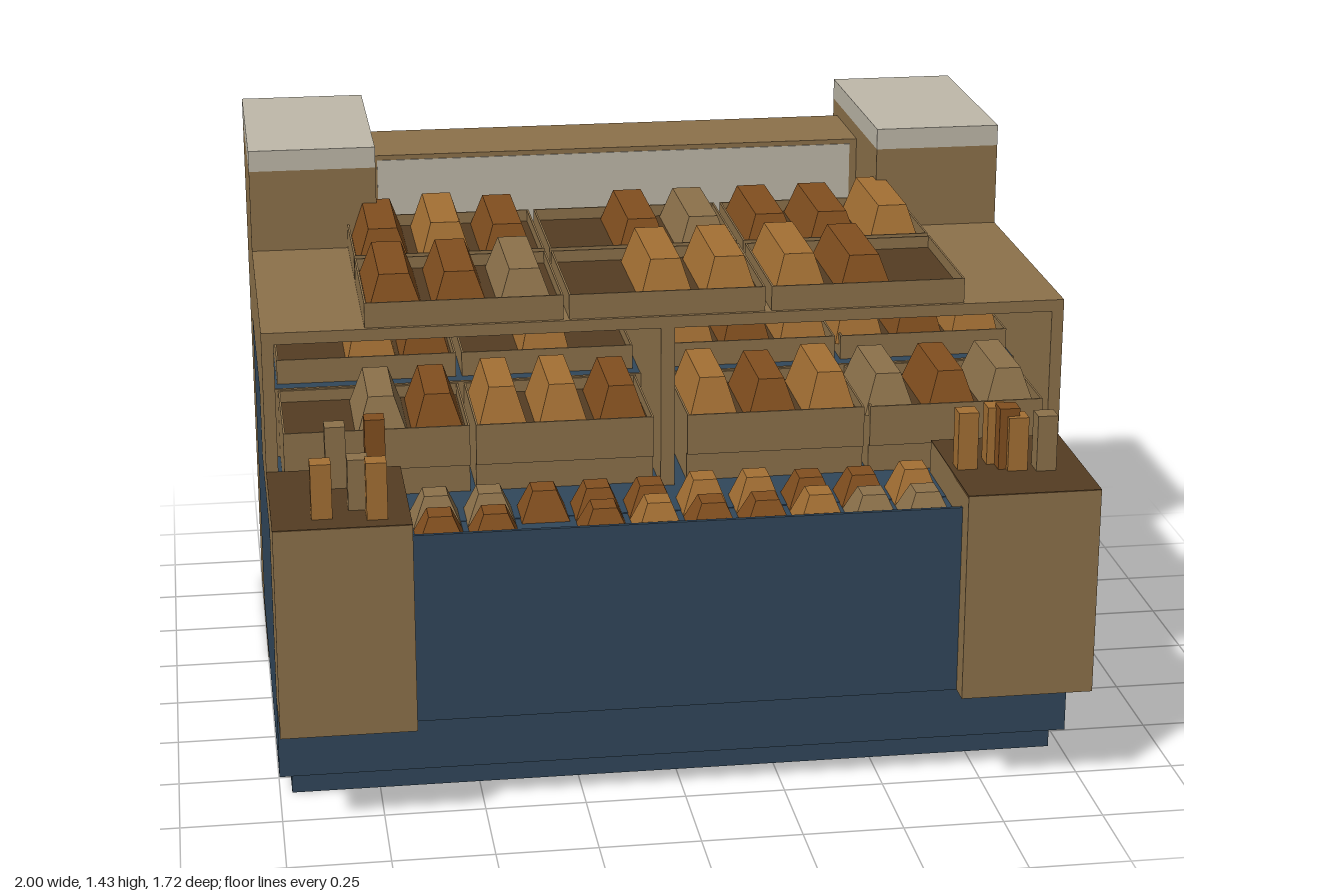
import * as THREE from 'three';

export function createModel() {
  const model = new THREE.Group();
  model.name = 'breadStall';

  const material = (name, color) => {
    const m = new THREE.MeshStandardMaterial({ color });
    m.name = name;
    return m;
  };
  const wood = material('wood', 0x8d724b);
  const darkWood = material('darkWood', 0x543d22);
  const blue = material('bluePaint', 0x31475b);
  const stone = material('paleStone', 0xbfb9aa);
  const brownCrust = material('brownCrust', 0x824f1f);
  const goldCrust = material('goldenCrust', 0xa47034);
  const crust = { d: brownCrust, g: goldCrust, t: wood };

  // box given by its lower and upper limits
  function box(name, mat, x0, x1, y0, y1, z0, z1, parent = model) {
    const mesh = new THREE.Mesh(new THREE.BoxGeometry(x1 - x0, y1 - y0, z1 - z0), mat);
    mesh.position.set((x0 + x1) / 2, (y0 + y1) / 2, (z0 + z1) / 2);
    mesh.name = name;
    parent.add(mesh);
  }

  // four thin walls, open above and below
  function walls(name, x0, x1, y0, y1, z0, z1) {
    const g = new THREE.Group();
    g.name = name;
    const t = 0.005;
    box(name + 'Side', wood, x0, x0 + t, y0, y1, z0, z1, g);
    box(name + 'Side', wood, x1 - t, x1, y0, y1, z0, z1, g);
    box(name + 'Back', wood, x0 + t, x1 - t, y0, y1, z0, z0 + t, g);
    box(name + 'Front', wood, x0 + t, x1 - t, y0, y1, z1 - t, z1, g);
    model.add(g);
  }

  // tray with thin rims and a dark floor
  function tray(name, x0, x1, y0, y1, z0, z1) {
    walls(name, x0, x1, y0, y1, z0, z1);
    box(name + 'Floor', darkWood, x0 + 0.005, x1 - 0.005, y0 + 0.001, y1 - 0.03, z0 + 0.005, z1 - 0.005);
  }

  // loaf: a box whose upper face is drawn in by a fixed inset
  function loaf(name, mat, x, y, z, w, h, d, inset) {
    const geo = new THREE.BoxGeometry(w, h, d);
    const p = geo.attributes.position;
    for (let i = 0; i < p.count; i++) {
      if (p.getY(i) > 0) {
        p.setX(i, p.getX(i) - Math.sign(p.getX(i)) * inset);
        p.setZ(i, p.getZ(i) - Math.sign(p.getZ(i)) * inset);
      }
    }
    geo.computeVertexNormals();
    const mesh = new THREE.Mesh(geo, mat);
    mesh.position.set(x, y + h / 2, z);
    mesh.name = name;
    model.add(mesh);
  }

  // a row of loaves; a dot leaves a place empty, golden ones rise higher
  function loafRow(name, xs, kinds, y, z, w, h, d, inset) {
    xs.forEach((x, i) => {
      const k = kinds[i];
      if (k !== '.') loaf(name, crust[k], x, y, z, w, k === 'g' ? h : h * 0.9, d, inset);
    });
  }

  // stepped base and plinth
  box('plinth', blue, -0.97, 0.97, 0, 0.062, -0.27, 0.59);
  box('baseFront', blue, -1.001, 1.001, 0.062, 0.717, 0.09, 0.627);
  box('baseRear', blue, -1.001, 1.001, 0.062, 0.895, -0.535, 0.09);

  // front bin between the corner boxes
  box('frontBin', blue, -0.67, 0.67, 0.27, 0.715, 0.6, 0.79);
  box('frontBinPanel', blue, -0.67, 0.67, 0.27, 0.752, 0.79, 0.8);

  // hollow rear wall with pale panels on both sides
  box('rearWall', wood, -0.67, 0.67, 0, 1.338, -0.806, -0.798);
  box('rearWallTop', wood, -0.67, 0.67, 1.325, 1.338, -0.798, -0.535);
  box('rearWallFront', wood, -0.67, 0.67, 0.895, 1.325, -0.545, -0.535);
  box('rearWallPanelBack', stone, -0.67, 0.67, 1.16, 1.325, -0.809, -0.805);
  box('rearWallPanelFront', stone, -0.65, 0.65, 1.14, 1.325, -0.537, -0.532);

  // mirrored posts, shelf sides and corner boxes
  for (const s of [-1, 1]) {
    const [x0, x1] = s < 0 ? [-1, -0.67] : [0.67, 1];
    walls('rearPost', x0, x1, 0, 1.375, -0.86, -0.27);
    box('postCap', stone, x0, x1, 1.375, 1.43, -0.86, -0.27);
    walls('cornerBox', x0, x1, 0.27, 0.8, 0.45, 0.857);
    box('cornerBoxTop', darkWood, x0, x1, 0.795, 0.803, 0.45, 0.857);
    box('shelfSide', wood, s < 0 ? -1 : 0.97, s < 0 ? -0.97 : 1, 0.717, 1.13, -0.27, 0.45);
  }

  // shelf top, divider and the riser behind the lower trays
  box('shelfTop', wood, -1, 1, 1.13, 1.16, -0.36, 0.45);
  box('shelfDivider', wood, -0.02, 0.015, 0.717, 1.13, -0.36, 0.45);
  box('shelfRiser', wood, -0.97, 0.97, 0.717, 0.898, 0.09, 0.099);

  // trays and long loaves on the shelf top
  const topX = [-0.67, -0.51, -0.35, 0, 0.16, 0.335, 0.5, 0.66];
  for (const [z0, z1, kinds] of [[-0.352, 0.025, 'dgddtddg'], [0.05, 0.44, 'ddtgggd.']]) {
    for (const x of [-0.504, -0.002, 0.502]) tray('topTray', x - 0.244, x + 0.244, 1.16, 1.223, z0, z1);
    loafRow('topLoaf', topX, kinds, 1.185, (z0 + z1) / 2, 0.14, 0.105, 0.355, 0.033);
  }

  // trays and loaves inside the shelf, rear row higher
  for (const [x0, x1] of [[-0.955, -0.495], [-0.48, -0.035], [0.05, 0.5], [0.515, 0.96]]) {
    tray('lowerTray', x0, x1, 0.79, 0.895, 0.1, 0.435);
    box('lowerTrayStand', wood, x0, x1, 0.717, 0.79, 0.1, 0.42);
    tray('rearTray', x0, x1, 0.896, 0.96, -0.34, 0.05);
  }
  const shelfX = [-0.86, -0.71, -0.57, -0.41, -0.26, -0.11, 0.12, 0.27, 0.42, 0.57, 0.73, 0.88];
  loafRow('lowerLoaf', shelfX, '.tdggdgdgtdt', 0.866, 0.27, 0.13, 0.11, 0.3, 0.033);
  loafRow('rearLoaf', shelfX, '.gd.g.gdggdg', 0.931, -0.14, 0.13, 0.14, 0.34, 0.033);

  // two rows of small rolls in the front bin
  const rollX = Array.from({ length: 10 }, (_, i) => -0.597 + i * 0.132);
  loafRow('roll', rollX, 'ttdddggddg', 0.715, 0.6, 0.118, 0.08, 0.125, 0.03);
  loafRow('roll', rollX, 'dd.dgddgtt', 0.715, 0.73, 0.118, 0.075, 0.125, 0.03);

  // breadsticks standing in the corner boxes: x, z, top, crust
  const sticks = [
    [-0.88, 0.77, 0.94, 'g'], [-0.79, 0.72, 0.93, 't'], [-0.75, 0.79, 0.945, 'g'],
    [-0.835, 0.565, 0.96, 't'], [-0.735, 0.495, 0.95, 'd'], [0.71, 0.65, 0.95, 'g'],
    [0.79, 0.62, 0.95, 'g'], [0.81, 0.66, 0.96, 'd'], [0.83, 0.675, 0.94, 'g'],
    [0.9, 0.685, 0.945, 't'],
  ];
  for (const [x, z, top, k] of sticks) {
    box('breadstick', crust[k], x - 0.025, x + 0.025, 0.803, top, z - 0.025, z + 0.025);
  }

  return model;
}
